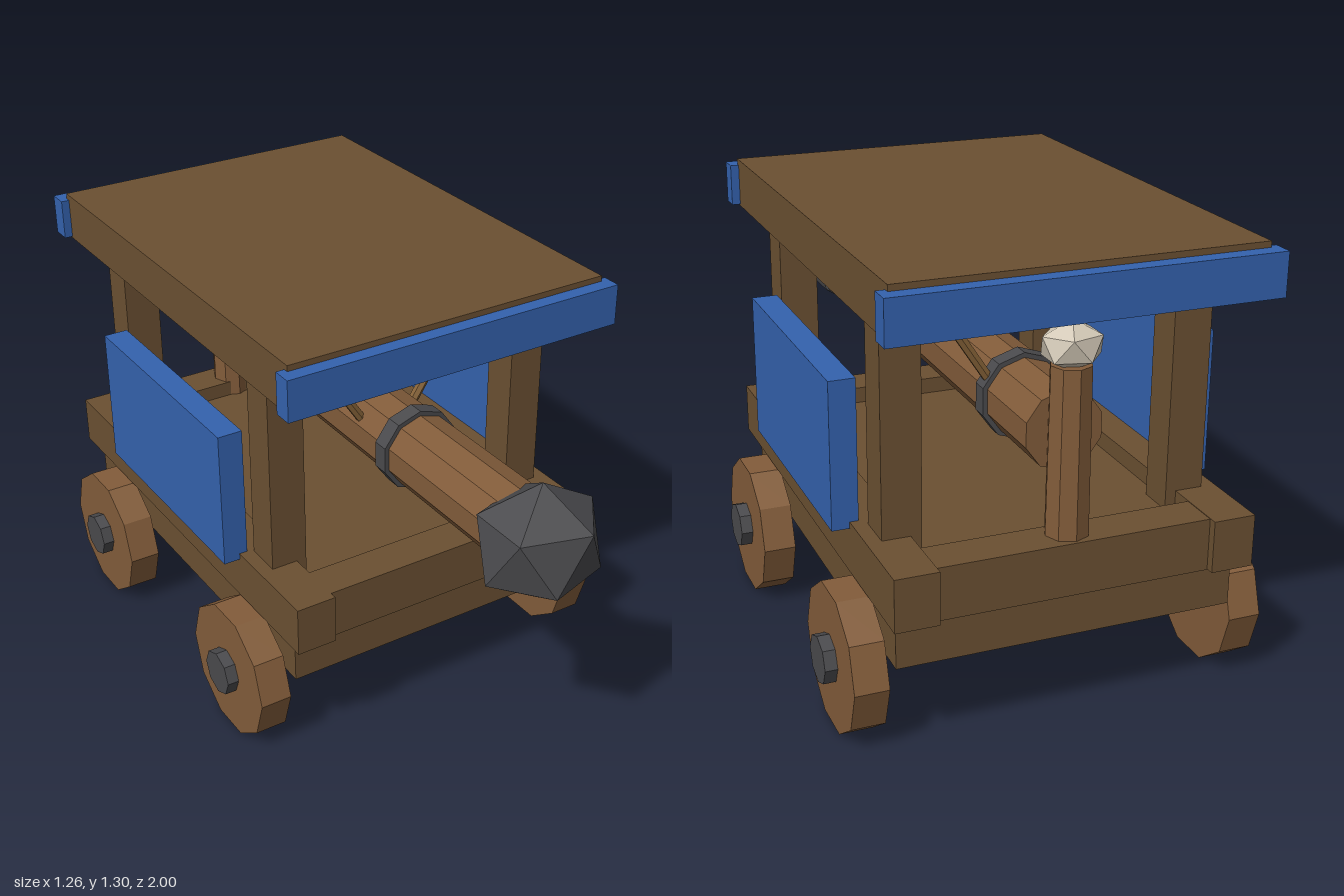
import * as THREE from 'three';

const mat = (color) => new THREE.MeshStandardMaterial({ color, flatShading: true });

export function createModel() {
  const model = new THREE.Group();
  const timber = mat(0x6b5032), log = mat(0x825c3a), cloth = mat(0x3462ae);
  const iron = mat(0x4a4a4d), bone = mat(0xd2c8b6), ropeMat = mat(0x866338);

  const add = (name, geometry, material, x, y, z) => {
    const mesh = new THREE.Mesh(geometry, material);
    mesh.name = name;
    mesh.position.set(x, y, z);
    model.add(mesh);
    return mesh;
  };
  // Box given by its extents on each axis
  const box = (name, material, [x0, x1], [y0, y1], [z0, z1]) =>
    add(name, new THREE.BoxGeometry(x1 - x0, y1 - y0, z1 - z0), material,
      (x0 + x1) / 2, (y0 + y1) / 2, (z0 + z1) / 2);
  // Faceted ball with one corner pointing straight up
  const ball = (name, material, sx, sy, sz, x, y, z) => {
    const tilt = Math.atan(2 / (1 + Math.sqrt(5)));
    const g = new THREE.IcosahedronGeometry(1, 0).rotateZ(-tilt).scale(sx, sy, sz);
    return add(name, g, material, x, y, z);
  };
  const mirrored = (range, s) => (s > 0 ? range : [-range[1], -range[0]]);

  // Chassis and deck frame
  box('chassis', timber, [-0.485, 0.485], [0.26, 0.5], [-0.91, 0.39]);
  box('frontRail', timber, [-0.39, 0.39], [0.4, 0.55], [0.31, 0.43]);
  box('backRail', timber, [-0.39, 0.39], [0.4, 0.55], [-0.95, -0.83]);

  // Roof with cloth trims on both ends
  box('roof', timber, [-0.51, 0.51], [1.158, 1.302], [-0.955, 0.435]);
  box('frontTrim', cloth, [-0.535, 0.535], [1.163, 1.285], [0.42, 0.478]);
  box('backTrim', cloth, [-0.535, 0.535], [1.163, 1.285], [-1, -0.938]);

  for (const s of [1, -1]) {
    box('sideRail', timber, mirrored([0.388, 0.51], s), [0.402, 0.552], [-0.975, 0.455]);
    box('sidePanel', cloth, mirrored([0.485, 0.56], s), [0.533, 0.955], [-0.625, 0.123]);
    for (const [z0, z1] of [[0.132, 0.243], [-0.762, -0.652]])
      box('roofPost', timber, mirrored([0.357, 0.468], s), [0.5, 1.17], [z0, z1]);

    // Wheels and hubs
    for (const z of [0.175, -0.695]) {
      const wheel = new THREE.CylinderGeometry(0.209, 0.209, 0.096, 10).rotateZ(Math.PI / 2);
      add('wheel', wheel, log, s * 0.547, 0.199, z);
      const hub = new THREE.CylinderGeometry(0.069, 0.069, 0.07, 8).rotateZ(Math.PI / 2);
      add('hub', hub, iron, s * 0.595, 0.202, z);
    }

    // Ropes from the roof down to the ram
    for (const z of [0.115, -0.57]) {
      const from = new THREE.Vector3(s * 0.285, 1.17, z), to = new THREE.Vector3(s * 0.07, 0.845, z);
      const dir = to.clone().sub(from);
      const rope = add('rope', new THREE.CylinderGeometry(0.015, 0.015, dir.length(), 6), ropeMat,
        ...from.clone().add(to).multiplyScalar(0.5).toArray());
      rope.quaternion.setFromUnitVectors(new THREE.Vector3(0, 1, 0), dir.normalize());
    }
  }

  // Ram log with iron head and bands
  add('ramLog', new THREE.CylinderGeometry(0.112, 0.112, 1.65, 10).rotateX(Math.PI / 2), log, 0, 0.825, -0.025);
  ball('ramHead', iron, 0.192, 0.18, 0.177, 0, 0.825, 0.85);
  for (const z of [0.267, -0.57])
    add('ramBand', new THREE.CylinderGeometry(0.126, 0.126, 0.05, 10).rotateX(Math.PI / 2), iron, 0, 0.825, z);

  // Rear pole with a pale knob
  add('rearPole', new THREE.CylinderGeometry(0.057, 0.062, 0.54, 8), log, 0, 0.748, -0.88);
  ball('poleKnob', bone, 0.092, 0.068, 0.077, 0, 1.067, -0.88);

  return model;
}
